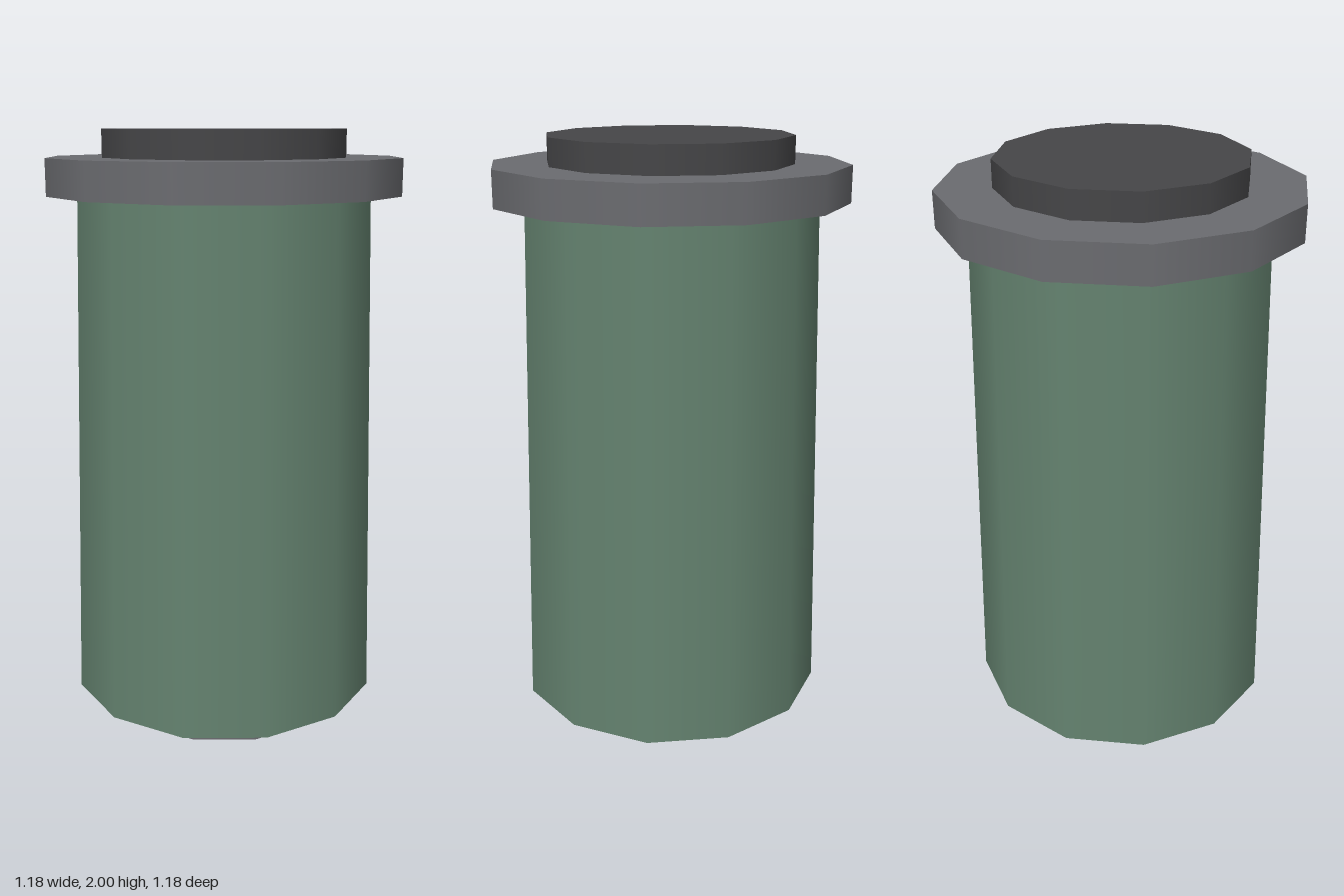
import * as THREE from 'three';

const SIDES = 12;

// Smooth-shaded twelve-sided drum between two heights
function drum(name, bottomRadius, topRadius, y0, y1, color) {
  const geometry = new THREE.CylinderGeometry(topRadius, bottomRadius, y1 - y0, SIDES);
  const mesh = new THREE.Mesh(geometry, new THREE.MeshStandardMaterial({ color }));
  mesh.name = name;
  mesh.position.y = (y0 + y1) / 2;
  return mesh;
}

export function createModel() {
  const group = new THREE.Group();
  group.name = 'canister';
  group.add(
    drum('baseRing', 0.405, 0.405, 0, 0.075, 0x6b6c70),
    drum('taperedBody', 0.528, 0.488, 0.075, 1.79, 0x64826f),
    drum('flange', 0.588, 0.588, 1.79, 1.91, 0x6b6c70),
    drum('topCap', 0.405, 0.405, 1.91, 2, 0x464648),
  );
  return group;
}
